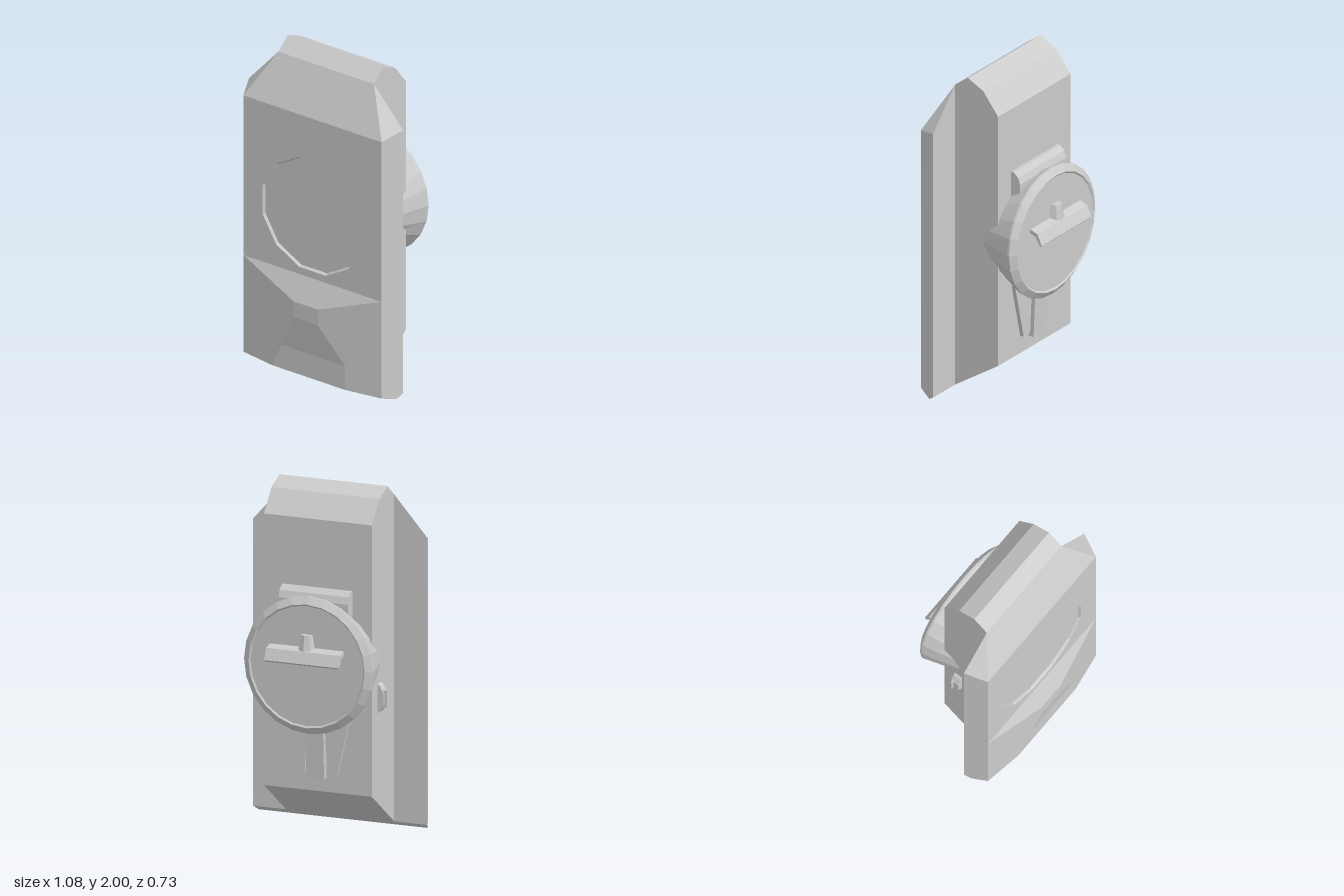
import * as THREE from 'three';

export function createModel() {
  const model = new THREE.Group();
  const mat = new THREE.MeshStandardMaterial({ color: 0xcccccc, flatShading: true, side: THREE.DoubleSide });
  const add = (name, geometry, x = 0, y = 0, z = 0) => {
    const mesh = new THREE.Mesh(geometry, mat);
    mesh.name = name;
    mesh.position.set(x, y, z);
    model.add(mesh);
    return mesh;
  };
  const shapeOf = (pts) => new THREE.Shape(pts.map((p) => new THREE.Vector2(...p)));
  // Side profile of [z, y] points, extruded across x and centred
  const acrossX = (pts, width) =>
    new THREE.ExtrudeGeometry(shapeOf(pts), { depth: width, bevelEnabled: false })
      .rotateY(-Math.PI / 2).translate(width / 2, 0, 0);
  // Flat polygons, each split into a fan
  const polygons = (faces) => {
    const pos = [];
    for (const f of faces)
      for (let i = 1; i < f.length - 1; i++) pos.push(...f[0], ...f[i], ...f[i + 1]);
    const g = new THREE.BufferGeometry();
    g.setAttribute('position', new THREE.Float32BufferAttribute(pos, 3));
    g.computeVertexNormals();
    return g;
  };
  const flip = ([x, y, z]) => [-x, y, z];
  const mirrored = (face) => [face, face.map(flip).reverse()];
  const band = (low, high) => [flip(low), low, high, flip(high)];

  // Rear block with faceted top and sloping underside
  add('rearBlock', acrossX(
    [[0.17, 0.028], [0.17, 1.93], [0.08, 2], [-0.03, 1.95], [-0.135, 1.82], [-0.135, 0.24]], 0.67));

  // Wide front plate: bevelled sides, shoulders, underside
  const shoulder = [0.335, 1.93, 0.17], inner = [0.335, 0.028, 0.17];
  const backTop = [0.54, 1.7, 0.17], backLow = [0.54, 0.028, 0.17];
  const frontTop = [0.485, 1.66, 0.3], frontLow = [0.485, 0.03, 0.3];
  const keel = [0.523, 0, 0.21], lip = [0.255, 0.03, 0.337];
  add('frontPlate', polygons([
    ...mirrored([keel, backLow, backTop, frontTop, frontLow]),
    ...mirrored([frontTop, backTop, shoulder]),
    ...mirrored([shoulder, backTop, backLow, inner]),
    band(frontTop, shoulder),
    band(backLow, keel),
    [flip(keel), keel, frontLow, lip, flip(lip), flip(frontLow)],
  ]));

  // Raised faceted chin on the lower front
  const brow = [0.485, 0.645, 0.3], noseTop = [0.085, 0.5, 0.365];
  const noseLow = [0.085, 0.4, 0.365], lipTop = [0.255, 0.18, 0.337];
  add('chin', polygons([
    band(noseTop, brow), band(noseLow, noseTop), band(lipTop, noseLow), band(lip, lipTop),
    ...mirrored([frontLow, brow, noseTop, noseLow, lipTop, lip]),
  ]));

  // Front face with a shallow twelve-sided recess
  const cy = 1.04;
  const face = shapeOf([[-0.485, 0.645], [0.485, 0.645], [0.485, 1.66], [-0.485, 1.66]]);
  face.holes.push(new THREE.Path(Array.from({ length: 12 }, (_, i) => {
    const a = (i + 0.5) * Math.PI / 6;
    return new THREE.Vector2(0.362 * Math.cos(a), cy + 0.362 * Math.sin(a));
  })));
  add('frontFace', new THREE.ShapeGeometry(face), 0, 0, 0.3);
  add('recessWall', new THREE.CylinderGeometry(0.362, 0.352, 0.015, 12, 1, true)
    .rotateY(Math.PI / 12).rotateX(Math.PI / 2), 0, cy, 0.2925);
  add('recessFloor', new THREE.CircleGeometry(0.352, 12, Math.PI / 12), 0, cy, 0.285);

  // Round rear dish: flattened root, wide rim, slightly sunken lid
  const dish = new THREE.LatheGeometry(
    [[0.337, 0.03], [0.4, 0.25], [0.4, 0.262], [0.36, 0.29], [0.35, 0.282], [0, 0.282]]
      .map((p) => new THREE.Vector2(...p)), 24).rotateX(-Math.PI / 2);
  const dp = dish.attributes.position;
  for (let i = 0; i < dp.count; i++) if (dp.getZ(i) > -0.1) dp.setY(i, dp.getY(i) * 0.8);
  dish.computeVertexNormals();
  add('rearDish', dish, 0, 1, 0);

  // Slanted grip bar and the tapered post it hangs from
  add('gripBar', acrossX(
    [[-0.28, 1.085], [-0.32, 1.075], [-0.355, 1.02], [-0.365, 1.03], [-0.335, 1.095], [-0.285, 1.11]], 0.46));
  add('gripPost', new THREE.CylinderGeometry(0.035, 0.055, 0.11, 8), 0, 1.13, -0.285);

  // Mount above the dish
  add('upperMount', acrossX(
    [[-0.12, 1.15], [-0.12, 1.425], [-0.155, 1.425], [-0.185, 1.4], [-0.2, 1.36], [-0.2, 1.15]], 0.43));

  // Two tapering side plates and a central tongue below the dish
  for (const s of [-1, 1]) {
    const plate = shapeOf([[s * 0.05, 0.7], [s * 0.21, 0.7], [s * 0.13, 0.35], [s * 0.07, 0.35]]);
    add('lowerPlate', new THREE.ExtrudeGeometry(plate, { depth: 0.04, bevelEnabled: false }), 0, 0, -0.16);
  }
  add('lowerTongue', acrossX(
    [[-0.12, 0.32], [-0.12, 0.72], [-0.19, 0.72], [-0.172, 0.32]], 0.11));

  // Small lever on the right side
  const lever = shapeOf([[-0.32, 0.7], [-0.32, 0.89], [-0.35, 0.87], [-0.372, 0.83], [-0.372, 0.76], [-0.35, 0.72]]);
  add('sideLever', new THREE.ExtrudeGeometry(lever, { depth: 0.05, bevelEnabled: false }), 0, 0, -0.06);
  add('leverFin', new THREE.BoxGeometry(0.06, 0.1, 0.006), -0.36, 0.795, -0.045);

  return model;
}
